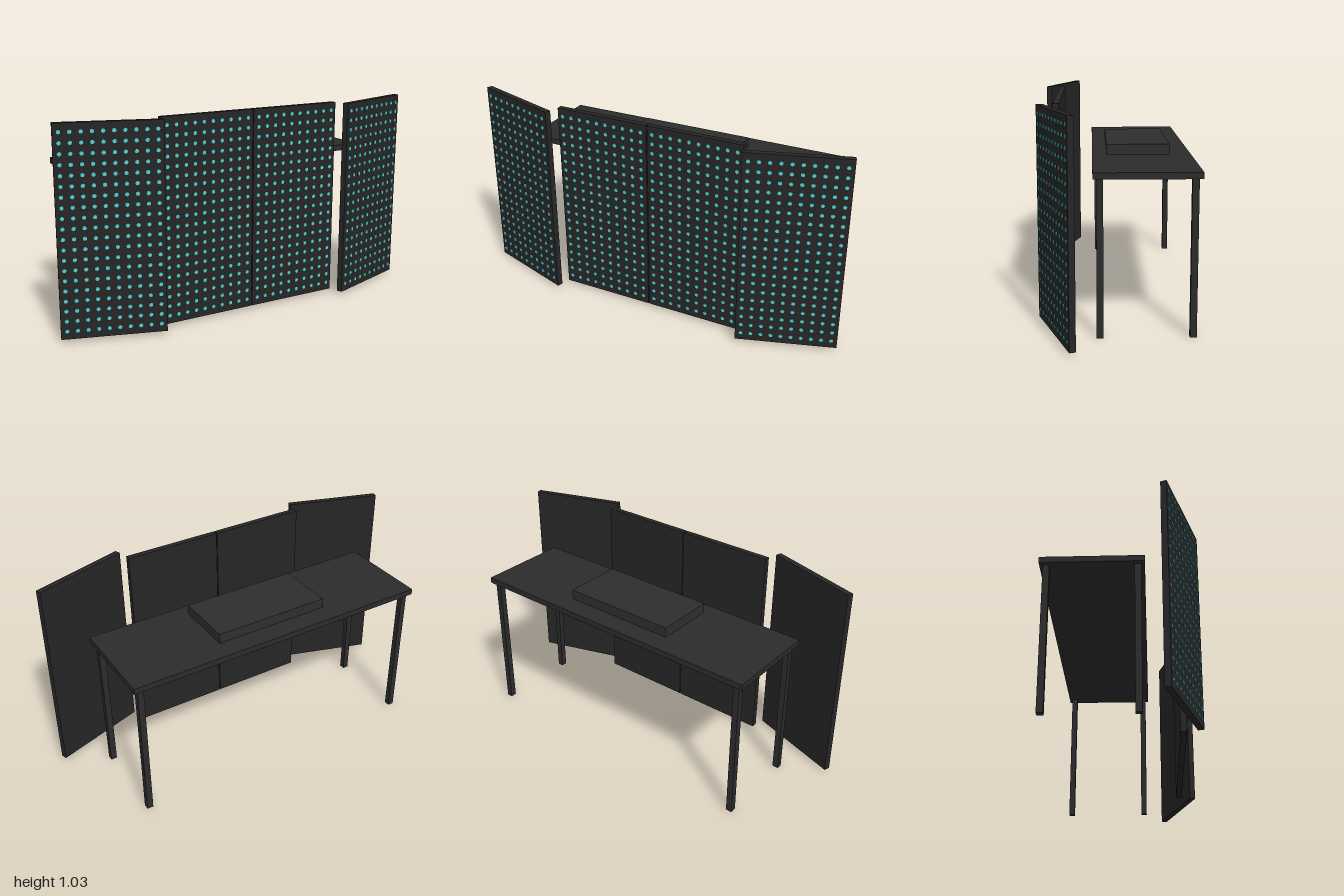
import * as THREE from 'three';
import { mergeGeometries } from 'three/addons/utils/BufferGeometryUtils.js';

const material = (name, color) => {
  const m = new THREE.MeshStandardMaterial({ color });
  m.name = name;
  return m;
};

function addBox(parent, name, mat, [w, h, d], [x, y, z]) {
  const mesh = new THREE.Mesh(new THREE.BoxGeometry(w, h, d), mat);
  mesh.name = name;
  mesh.position.set(x, y, z);
  parent.add(mesh);
  return mesh;
}

// One merged grid of thin round lights facing +z
function lightGrid(cols, rows, pitch, radius, depth) {
  const parts = [];
  for (let c = 0; c < cols; c++) {
    for (let r = 0; r < rows; r++) {
      const light = new THREE.CylinderGeometry(radius, radius, depth, 8);
      light.rotateX(Math.PI / 2);
      light.translate((c - (cols - 1) / 2) * pitch, (r - (rows - 1) / 2) * pitch, 0);
      parts.push(light);
    }
  }
  return mergeGeometries(parts);
}

export function createModel() {
  const model = new THREE.Group();
  model.name = 'boothWithLightPanels';

  const panelMat = material('panel black', 0x262626);
  const tableMat = material('table charcoal', 0x2b2b2b);
  const deviceMat = material('device charcoal', 0x2d2e2d);
  const lightMat = material('light cyan', 0x4fd1d1);

  // Row of four light panels, the outer two swept back
  const lights = lightGrid(10, 20, 0.0492, 0.01, 0.004);
  const panelWidth = 0.5, panelHeight = 1.016, thickness = 0.03, spacing = 0.505;
  const sweep = THREE.MathUtils.degToRad(18);
  const names = ['outerRightPanel', 'innerRightPanel', 'innerLeftPanel', 'outerLeftPanel'];
  const turns = [-sweep, 0, 0, sweep];
  names.forEach((name, i) => {
    const panel = new THREE.Group();
    panel.name = name;
    panel.position.set((i - 1.5) * spacing, 0.525, 0.28);
    panel.rotation.y = turns[i];
    addBox(panel, 'panelBoard', panelMat, [panelWidth, panelHeight, thickness], [0, 0, 0]);
    const grid = new THREE.Mesh(lights, lightMat);
    grid.name = 'panelLights';
    grid.position.z = thickness / 2 + 0.001;
    panel.add(grid);
    model.add(panel);
  });

  // Table behind the panels
  const table = new THREE.Group();
  table.name = 'table';
  table.position.z = -0.128;
  model.add(table);
  addBox(table, 'tableTop', tableMat, [1.616, 0.03, 0.485], [0, 0.748, 0]);
  for (const x of [-0.77, 0.77]) {
    for (const z of [-0.211, 0.211]) {
      addBox(table, 'tableLeg', tableMat, [0.031, 0.733, 0.031], [x, 0.3665, z]);
    }
  }

  // Flat device on the table
  addBox(table, 'deviceBox', deviceMat, [0.605, 0.051, 0.308], [0, 0.7885, 0.018]);

  return model;
}
